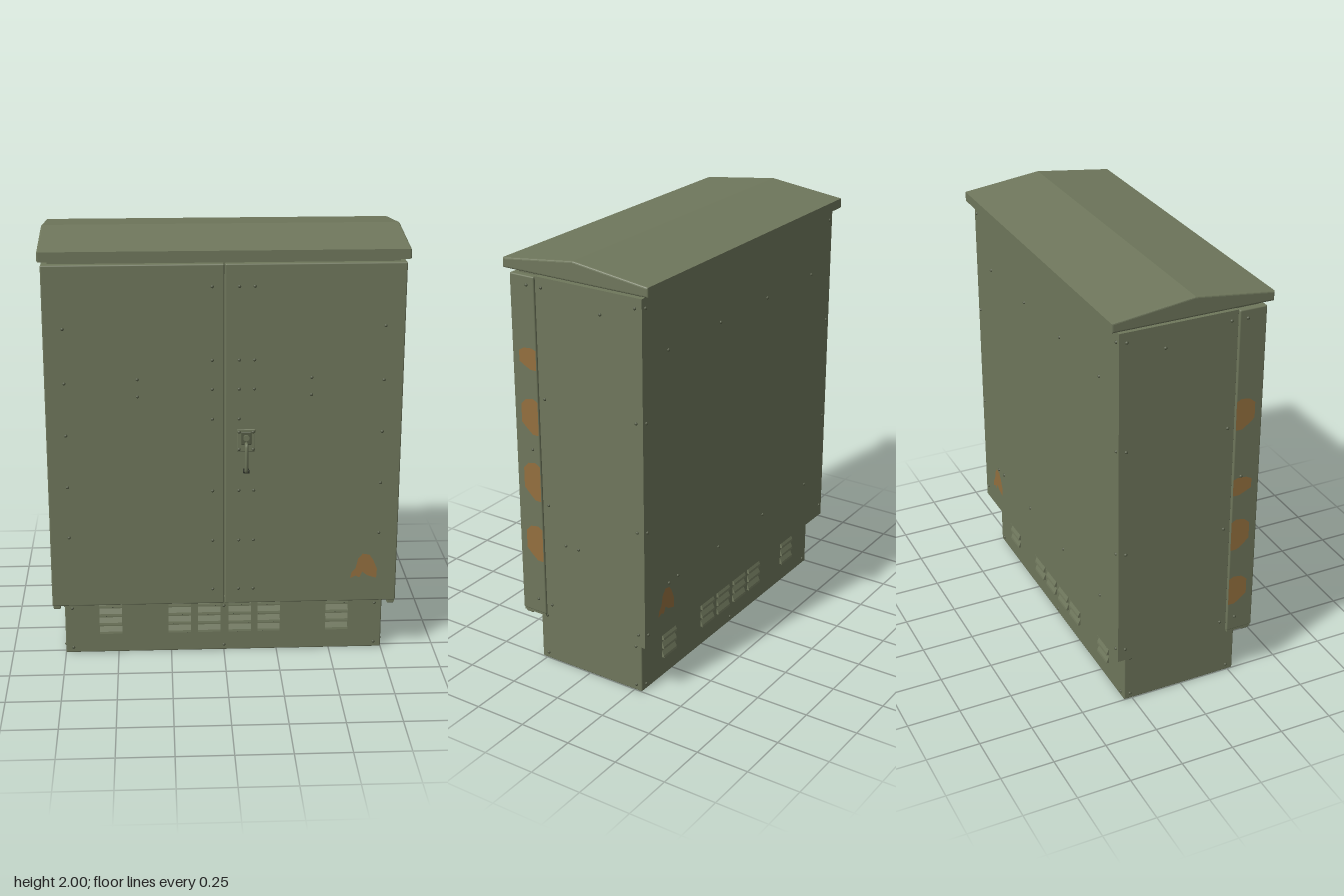
import * as THREE from 'three';
import { mergeGeometries } from 'three/addons/utils/BufferGeometryUtils.js';
import { RoundedBoxGeometry } from 'three/addons/geometries/RoundedBoxGeometry.js';

const mat = (name, color) => {
  const m = new THREE.MeshStandardMaterial({ color });
  m.name = name;
  return m;
};

export function createModel() {
  const paint = mat('olive paint', 0x6f775c);
  const boltPaint = mat('bolt olive', 0x555c46);
  const rust = mat('rust', 0x94703f);
  const dark = mat('dark rubber', 0x2c3027);

  const model = new THREE.Group();
  model.name = 'outdoorCabinet';
  const add = (name, geometry, material, parent = model) => {
    const mesh = new THREE.Mesh(geometry, material);
    mesh.name = name;
    parent.add(mesh);
    return mesh;
  };
  // Box given by its limits on each axis, optionally with rounded edges
  const block = (x0, x1, y0, y1, z0, z1, r = 0) => {
    const s = [x1 - x0, y1 - y0, z1 - z0];
    const g = r ? new RoundedBoxGeometry(...s, 2, r) : new THREE.BoxGeometry(...s);
    return g.translate((x0 + x1) / 2, (y0 + y1) / 2, (z0 + z1) / 2);
  };
  const FRONT = 0, BACK = Math.PI, LEFT = Math.PI / 2, RIGHT = -Math.PI / 2;

  // Main shell, neck under the roof and plinth
  add('body', block(-0.8, 0.8, 0.27, 1.895, -0.345, 0.2), paint);
  add('neck', block(-0.775, 0.775, 1.88, 1.915, -0.315, 0.305), paint);
  add('plinth', block(-0.75, 0.75, 0, 0.28, -0.29, 0.275, 0.006), paint);
  add('doorSeal', block(-0.79, 0.79, 0.28, 1.885, 0.195, 0.215), dark);

  // Two doors, with a hinge foot under each outer corner
  for (const s of [-1, 1]) {
    const x0 = s < 0 ? -0.803 : 0.002;
    add('door', block(x0, x0 + 0.801, 0.27, 1.89, 0.206, 0.335, 0.006), paint);
    add('hingeFoot', block(s * 0.782 - 0.016, s * 0.782 + 0.016, 0.25, 0.28, 0.285, 0.325, 0.005), paint);
    add('hingeSkirt', block(s * 0.79 - 0.01, s * 0.79 + 0.01, 0.26, 0.28, 0.21, 0.33), paint);
  }

  // Gabled roof with a rounded lip, extruded along x
  const b = 0.008;
  const gable = new THREE.Shape([
    [-0.36 + b, 1.91 + b], [0.385 - b, 1.91 + b], [0.385 - b, 1.955 - b],
    [0.01, 2 - b], [-0.36 + b, 1.955 - b],
  ].map(([u, y]) => new THREE.Vector2(u, y)));
  const roof = new THREE.ExtrudeGeometry(gable, {
    depth: 1.63 - 2 * b, bevelEnabled: true, bevelSize: b, bevelThickness: b, bevelSegments: 3,
  });
  roof.translate(0, 0, -0.815 + b).rotateY(Math.PI / 2);
  add('roof', roof, paint);

  // Domed bolts on a face: u runs across the face, seen from outside
  const bolts = (name, angle, dist, points) => {
    const geos = points.map(([u, y]) =>
      new THREE.SphereGeometry(0.008, 8, 4, 0, Math.PI * 2, 0, Math.PI / 2)
        .rotateX(Math.PI / 2).translate(u, y, dist).rotateY(angle));
    add(name, mergeGeometries(geos), boltPaint);
  };
  const grid = (us, ys) => us.flatMap((u) => ys.map((y) => [u, y]));
  const quarters = [1.85, 1.345, 0.835, 0.33];

  bolts('doorBolts', FRONT, 0.334, [
    ...grid([-0.715, 0.715], [1.605, 1.355, 1.11, 0.862, 0.615]),
    ...grid([-0.055, 0.065, 0.133], [1.79, 1.455, 1.32, 1.18, 0.835, 0.59, 0.345]),
    ...grid([-0.39, 0.39], [1.37, 1.29]),
  ].filter(([u, y]) => !(u > 0.12 && y === 1.18)));
  bolts('backBolts', BACK, 0.344, [
    ...grid([-0.775, 0.775], quarters),
    ...grid([-0.61, -0.2, 0.2, 0.61], [1.62, 0.515]), [-0.54, 0.52],
  ]);
  bolts('leftBolts', LEFT, 0.799, [
    ...grid([-0.17, 0.31], quarters), [0.135, 1.79], [-0.08, 0.66], [-0.01, 0.66],
  ]);
  bolts('rightBolts', RIGHT, 0.799, [...grid([0.17, -0.31], quarters), [-0.135, 1.79]]);
  for (const [angle, s] of [[LEFT, -1], [RIGHT, 1]]) {
    bolts('doorEdgeBolts', angle, 0.802, grid([s * 0.245], [1.85, 1.09, 0.34]));
    bolts('plinthSideBolts', angle, 0.749, grid([s * 0.24, s * -0.26], [0.23, 0.03]));
  }
  for (const [angle, d] of [[FRONT, 0.274], [BACK, 0.289]])
    bolts('plinthBolts', angle, d, grid([-0.715, 0, 0.715], [0.23, 0.027]));

  // Louvre vents: hooded wedges with a dark slot under each
  const hood = new THREE.Shape([[0, 0], [0.014, 0], [0.012, 0.01], [0, 0.036]]
    .map(([u, y]) => new THREE.Vector2(u, y)));
  for (const [angle, d] of [[FRONT, 0.274], [BACK, 0.289]]) {
    const hoods = [], slots = [];
    for (const u of [-0.535, -0.21, -0.07, 0.075, 0.212, 0.535]) {
      for (let i = 0; i < 4; i++) {
        const y = 0.1 + i * 0.046;
        hoods.push(new THREE.ExtrudeGeometry(hood, { depth: 0.106, bevelEnabled: false })
          .rotateY(-Math.PI / 2).translate(u + 0.053, y, d).rotateY(angle));
        slots.push(block(u - 0.048, u + 0.048, y - 0.002, y + 0.001, d, d + 0.01).rotateY(angle));
      }
    }
    add('louvres', mergeGeometries(hoods), paint);
    add('louvreSlots', mergeGeometries(slots), dark);
  }

  // Swing handle on the left door
  const handle = new THREE.Group();
  handle.name = 'handle';
  model.add(handle);
  add('handlePlate', block(0.056, 0.138, 1.025, 1.13, 0.334, 0.342, 0.003), paint, handle);
  add('handleHousing', block(0.074, 0.12, 1.06, 1.122, 0.34, 0.354, 0.004), boltPaint, handle);
  add('lockCylinder', new THREE.CylinderGeometry(0.014, 0.014, 0.024, 16)
    .rotateX(Math.PI / 2).translate(0.097, 1.095, 0.35), paint, handle);
  const path = new THREE.CatmullRomCurve3([
    [1.066, 0.345], [1.064, 0.37], [1.045, 0.377], [0.96, 0.377], [0.94, 0.37], [0.934, 0.345],
  ].map(([y, z]) => new THREE.Vector3(0.097, y, z)), false, 'centripetal');
  add('handleGrip', new THREE.TubeGeometry(path, 32, 0.008, 8), paint, handle);
  add('handleTip', block(0.083, 0.111, 0.927, 0.942, 0.336, 0.368, 0.003), dark, handle);
  bolts('handleBolts', FRONT, 0.341, grid([0.065, 0.129], [1.036, 1.119]));

  // Thin rust patches
  const patch = (name, angle, dist, u, y, w, h, outline) => {
    const shape = new THREE.Shape(outline.map(([a, c]) => new THREE.Vector2(a * w, c * h)));
    add(name, new THREE.ShapeGeometry(shape).translate(u, y, dist).rotateY(angle), rust);
  };
  const arch = [[-0.5, -0.45], [-0.3, -0.35], [-0.15, -0.42], [-0.05, -0.2], [0.15, -0.35],
    [0.48, -0.45], [0.5, -0.1], [0.35, 0.25], [0.2, 0.46], [-0.05, 0.5], [-0.22, 0.3],
    [-0.3, -0.05], [-0.45, -0.22]];
  patch('frontRust', FRONT, 0.3365, 0.65, 0.445, 0.125, 0.13, arch);
  patch('backRust', BACK, 0.3465, -0.635, 0.435, 0.125, 0.13, arch);
  const blot = [[-0.5, -0.2], [-0.2, -0.35], [0.15, -0.5], [0.5, -0.5], [0.5, 0.42],
    [0.25, 0.5], [-0.2, 0.46], [-0.5, 0.3]];
  for (const [y, h] of [[1.518, 0.1], [1.248, 0.17], [0.935, 0.185], [0.628, 0.175]])
    patch('leftEdgeRust', LEFT, 0.8045, -0.253, y, 0.09, h, blot);
  const mirrored = blot.map(([a, c]) => [-a, c]).reverse();
  for (const [y, h] of [[1.4, 0.15], [1.04, 0.09], [0.79, 0.16], [0.49, 0.15]])
    patch('rightEdgeRust', RIGHT, 0.8045, 0.253, y, 0.09, h, mirrored);

  return model;
}
